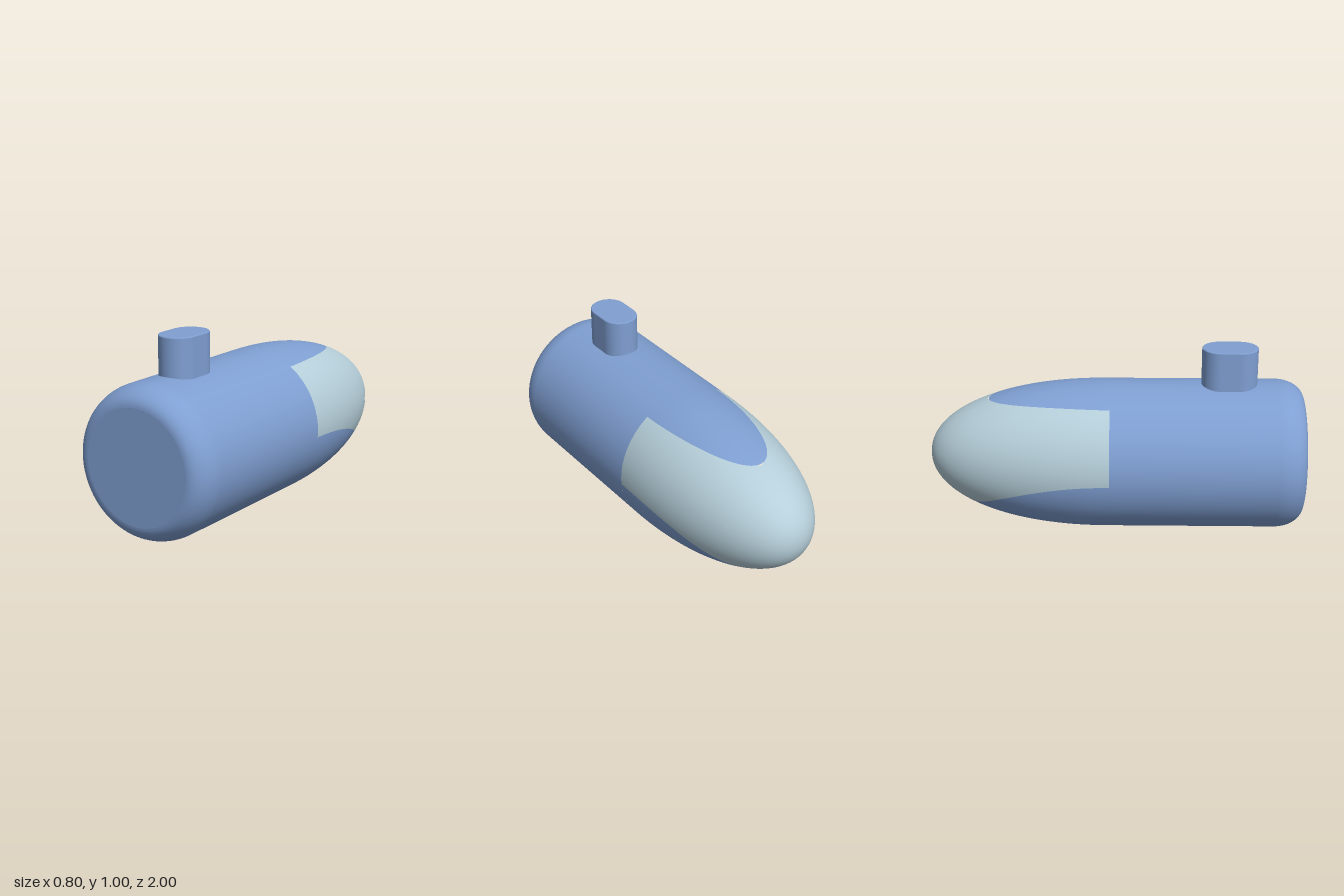
import * as THREE from 'three';

const R = 0.4, NOSE = 0.95, POWER = 2.1;      // hull radius, nose length, nose fullness
const SEAM = -0.03, TONGUE = -0.68, CHIN = -0.755;

// Nose cross-section radius at a given z
const along = (z) => Math.min(1, Math.max(0, -z - 1 + NOSE) / NOSE);
const radius = (z) => R * Math.pow(1 - Math.pow(along(z), POWER), 1 / POWER);

// Angles from the crown where the glass begins and ends
const glassTop = (z) => {
  const w = 0.226 * Math.sqrt(Math.max(0, 1 - (z / TONGUE) ** 2));
  return Math.asin(Math.min(1, w / radius(z)));
};
const glassBottom = (z) => {
  const drop = -0.03 - 0.2 * Math.pow(z / CHIN, 2.3);
  return Math.acos(Math.max(-1, drop / radius(z)));
};

// Patch of the nose surface between two z values and two angle curves
function nosePatch(z0, z1, from, to, rows = 40, cols = 32) {
  const pos = [], nor = [], idx = [];
  for (let i = 0; i <= rows; i++) {
    const z = z0 + (z1 - z0) * Math.sin((i / rows) * Math.PI / 2);
    const r = radius(z), a = from(z), b = to(z);
    const nr = Math.pow(r / R, POWER - 1) / R;
    const nz = -Math.pow(along(z), POWER - 1) / NOSE;
    const len = Math.hypot(nr, nz);
    for (let j = 0; j <= cols; j++) {
      const t = a + (b - a) * j / cols, s = Math.sin(t), c = Math.cos(t);
      pos.push(r * s, R + r * c, z);
      nor.push(nr * s / len, nr * c / len, nz / len);
      if (i < rows && j < cols) {
        const k = i * (cols + 1) + j, n = k + cols + 1;
        idx.push(k, k + 1, n, k + 1, n + 1, n);
      }
    }
  }
  const g = new THREE.BufferGeometry();
  g.setAttribute('position', new THREE.Float32BufferAttribute(pos, 3));
  g.setAttribute('normal', new THREE.Float32BufferAttribute(nor, 3));
  g.setIndex(idx);
  return g;
}

export function createModel() {
  const model = new THREE.Group();
  const blue = new THREE.MeshStandardMaterial({ color: 0x7f9fd2 });
  blue.name = 'hull blue';
  const pale = new THREE.MeshStandardMaterial({ color: 0xb5ced9 });
  pale.name = 'glass pale blue';
  const add = (name, geometry, material) => {
    const mesh = new THREE.Mesh(geometry, material);
    mesh.name = name;
    model.add(mesh);
    return mesh;
  };

  // Straight hull with a rounded rim and flat front
  const profile = [new THREE.Vector2(R, SEAM)];
  for (let i = 0; i <= 12; i++) {
    const t = (i / 12) * Math.PI / 2;
    profile.push(new THREE.Vector2(R - 0.1 + 0.1 * Math.cos(t), 0.85 + 0.15 * Math.sin(t)));
  }
  const hull = new THREE.LatheGeometry(profile, 96);
  hull.rotateX(Math.PI / 2).translate(0, R, 0);
  add('hull', hull, blue);
  const face = new THREE.CircleGeometry(R - 0.1, 96);
  face.translate(0, R, 1);
  add('frontFace', face, blue);

  // Nose: blue crown and belly, glass on both sides and round the tip
  add('noseCrown', nosePatch(SEAM, TONGUE, (z) => -glassTop(z), glassTop), blue);
  add('noseBelly', nosePatch(SEAM, CHIN, glassBottom, (z) => 2 * Math.PI - glassBottom(z)), blue);
  add('leftGlass', nosePatch(SEAM, CHIN, glassTop, glassBottom), pale);
  add('rightGlass', nosePatch(SEAM, CHIN, (z) => -glassBottom(z), (z) => -glassTop(z)), pale);
  add('noseTip', nosePatch(CHIN, -1, () => 0, () => 2 * Math.PI, 32, 96), pale);

  // Upright post with rounded ends
  const bevel = 0.006, r = 0.098 - bevel, h = 0.05;
  const outline = new THREE.Shape();
  outline.absarc(0, h, r, 0, Math.PI, false);
  outline.absarc(0, -h, r, Math.PI, 2 * Math.PI, false);
  outline.closePath();
  const post = new THREE.ExtrudeGeometry(outline, {
    depth: 0.3 - bevel, bevelEnabled: true, bevelSize: bevel, bevelThickness: bevel,
    bevelSegments: 3, curveSegments: 24,
  });
  post.rotateX(-Math.PI / 2).translate(0, 0.7, 0.6);
  add('post', post, blue);

  return model;
}
